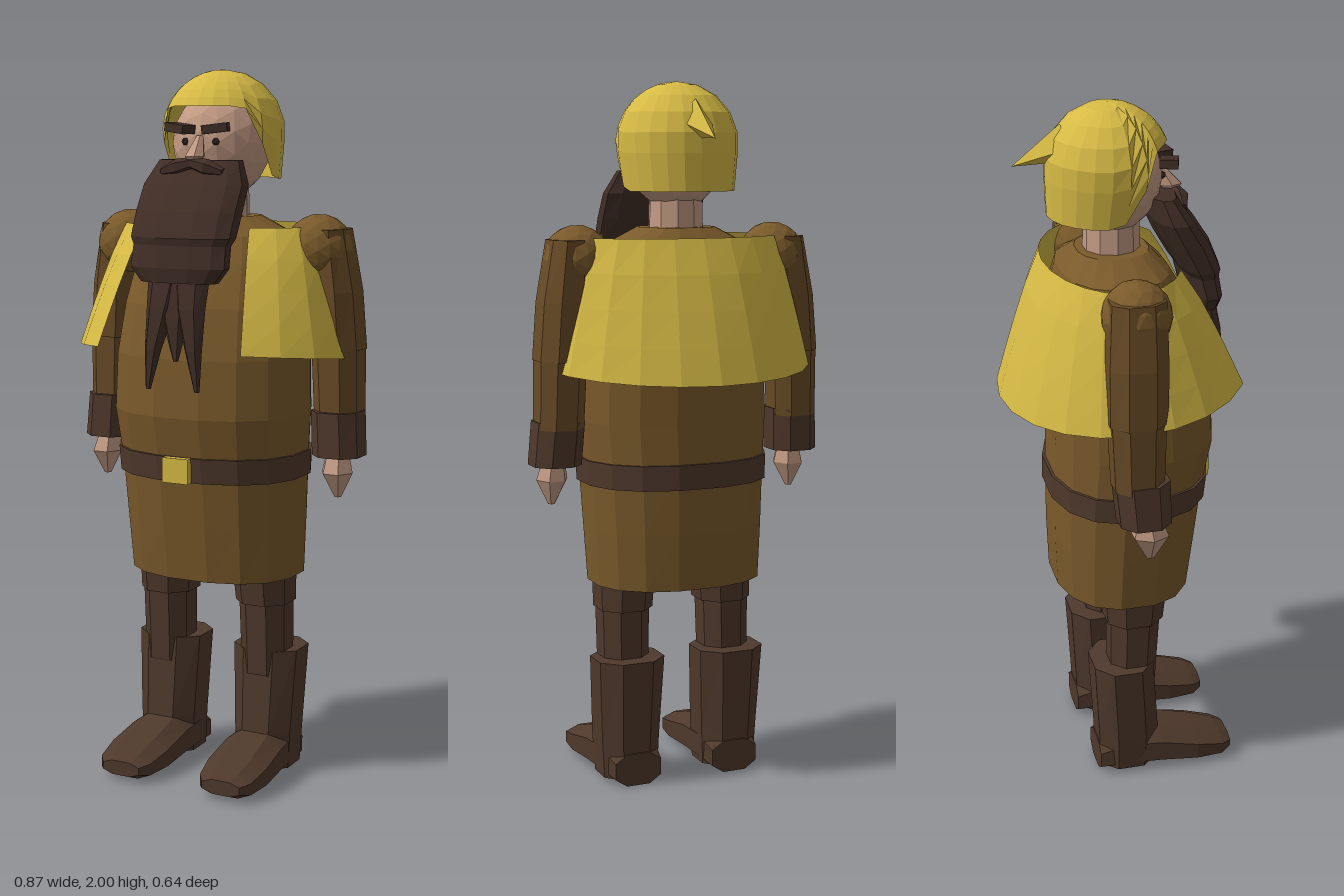
import * as THREE from 'three';

const mat = (name, color, extra = {}) =>
  Object.assign(new THREE.MeshStandardMaterial({ color, flatShading: true, ...extra }), { name });

// Grid of (nu x nv) cells from fn(u, v) -> [x, y, z]; u runs to the left, v upward
function sheet(nu, nv, fn, caps = false) {
  const pos = [], idx = [];
  for (let j = 0; j <= nv; j++)
    for (let i = 0; i <= nu; i++) pos.push(...fn(i / nu, j / nv));
  const w = nu + 1;
  for (let j = 0; j < nv; j++)
    for (let i = 0; i < nu; i++) {
      const a = j * w + i, b = a + 1, c = a + w, d = c + 1;
      idx.push(a, b, d, a, d, c);
    }
  if (caps)
    for (let i = 1; i < nu - 1; i++) {
      const t = nv * w;
      idx.push(0, i + 1, i, t, t + i, t + i + 1);
    }
  const g = new THREE.BufferGeometry();
  g.setAttribute('position', new THREE.Float32BufferAttribute(pos, 3));
  g.setIndex(idx);
  g.computeVertexNormals();
  return g;
}

// Capped loft through rings [y, cx, cz, rx, rz], lowest first; p < 1 squares the section
function loft(rings, n = 8, p = 1, turn = 0.5) {
  const bend = v => Math.sign(v) * Math.abs(v) ** p;
  return sheet(n, rings.length - 1, (u, v) => {
    const [y, cx, cz, rx, rz] = rings[Math.round(v * (rings.length - 1))];
    const a = (u + turn / n) * Math.PI * 2;
    return [cx + rx * bend(Math.sin(a)), y, cz + rz * bend(Math.cos(a))];
  }, true);
}

export function createModel() {
  const root = new THREE.Group();
  const gold = mat('gold', 0xd6ba45, { side: THREE.DoubleSide });
  const cloth = mat('brown cloth', 0x7a5a2b);
  const sleeveCloth = mat('sleeve brown', 0x684b26);
  const leather = mat('dark leather', 0x4f392c);
  const hair = mat('dark hair', 0x412e26);
  const skin = mat('skin', 0xc49c85);

  const add = (name, geo, material, parent = root) => {
    const m = new THREE.Mesh(geo, material);
    m.name = name;
    parent.add(m);
    return m;
  };

  // Tunic, belt and buckle
  add('tunic', loft([
    [0.59, 0, 0.018, 0.252, 0.197], [0.75, 0, 0.025, 0.26, 0.21], [0.92, 0, 0.035, 0.268, 0.22],
    [1.06, 0, 0.05, 0.28, 0.232], [1.22, 0, 0.045, 0.275, 0.228], [1.36, 0, 0.03, 0.26, 0.21],
    [1.48, 0, 0.01, 0.24, 0.18], [1.55, 0, 0, 0.21, 0.15], [1.6, 0, 0, 0.11, 0.1],
  ], 16, 0.85), cloth);
  add('belt', loft([[0.88, 0, 0.034, 0.274, 0.228], [0.95, 0, 0.038, 0.277, 0.231]], 16, 0.85), leather);
  add('buckle', new THREE.BoxGeometry(0.08, 0.07, 0.02), gold).position.set(0, 0.915, 0.272);

  // Short cape, open at the front
  add('cape', sheet(18, 4, (u, v) => {
    const a = THREE.MathUtils.degToRad(33 + u * 294);
    const d = 1 - v, f = d ** 0.85;
    return [
      (0.295 + 0.107 * f) * Math.sin(a),
      1.575 - d * (0.355 - 0.035 * Math.cos(a)),
      -0.005 + 0.032 * f + (0.188 + 0.16 * f) * Math.cos(a),
    ];
  }), gold);

  // Neck and head
  add('neck', loft([[1.56, 0, 0, 0.08, 0.08], [1.74, 0, 0, 0.075, 0.075]], 10), skin);
  const head = add('head', new THREE.IcosahedronGeometry(1, 2), skin);
  head.scale.set(0.138, 0.155, 0.137);
  head.position.set(0, 1.8, 0);
  add('nose', loft([[1.74, 0, 0.165, 0.012, 0.012], [1.765, 0, 0.162, 0.028, 0.035],
    [1.82, 0, 0.13, 0.01, 0.012]], 6), skin);

  // Helmet with a face opening and a spike at the back
  add('helmet', sheet(22, 7, (u, v) => {
    const a = u * Math.PI * 2;
    const off = Math.min(a, Math.PI * 2 - a) * 180 / Math.PI;
    const k = THREE.MathUtils.clamp((off - 48) / 36, 0, 1);
    const pol = (1 - v) * (66 + 74 * k);
    const low = Math.max(0, (pol - 90) / 50);
    const rad = Math.min(pol, 90) * Math.PI / 180;
    const r = 0.172 * Math.sin(rad) - 0.016 * low;
    return [r * Math.sin(a), 1.83 + 0.17 * Math.cos(rad) - 0.13 * low, r * Math.cos(a) - 0.01 - 0.012 * low];
  }), gold);
  const spike = add('helmetSpike', new THREE.ConeGeometry(0.055, 0.16, 4), gold);
  spike.rotation.x = -(Math.PI / 2 + 0.35);
  spike.position.set(0, 1.87, -0.195);

  // Beard
  add('beard', loft([
    [1.43, 0, 0.25, 0.115, 0.04], [1.47, 0, 0.25, 0.147, 0.046], [1.53, 0, 0.236, 0.145, 0.05],
    [1.55, 0, 0.23, 0.155, 0.06], [1.62, 0, 0.195, 0.156, 0.066], [1.69, 0, 0.155, 0.155, 0.06],
    [1.755, 0, 0.125, 0.125, 0.04],
  ], 12, 0.8), hair);
  add('beardMiddleLock', loft([[1.22, 0.01, 0.292, 0.008, 0.006], [1.33, 0, 0.275, 0.04, 0.022],
    [1.46, 0, 0.25, 0.07, 0.03]], 6), hair);

  for (const s of [1, -1]) {
    const side = s > 0 ? 'left' : 'right';
    const part = new THREE.Group();
    part.name = side + 'Side';
    root.add(part);

    // Face details
    const brow = add('eyebrow', new THREE.BoxGeometry(0.07, 0.024, 0.05), hair, part);
    brow.position.set(s * 0.055, 1.84, 0.145);
    brow.rotation.set(0, s * 0.3, s * 0.12);
    const eye = add('eye', new THREE.IcosahedronGeometry(0.011, 0), hair, part);
    eye.position.set(s * 0.047, 1.804, 0.128);
    const moustache = add('moustache', loft([[-0.05, 0, 0, 0.012, 0.012], [0, 0, 0, 0.024, 0.03],
      [0.05, 0, 0, 0.016, 0.018]], 6), hair, part);
    moustache.rotation.z = s * (Math.PI / 2 - 0.25);
    moustache.position.set(s * 0.045, 1.735, 0.175);
    add('beardLock', loft([
      [1.14, s * 0.075, 0.293, 0.008, 0.006], [1.25, s * 0.062, 0.288, 0.026, 0.02],
      [1.36, s * 0.045, 0.272, 0.045, 0.028], [1.46, s * 0.035, 0.25, 0.06, 0.03],
    ], 6), hair, part);

    // Arm
    const shoulder = add('shoulder', new THREE.IcosahedronGeometry(0.095, 2), cloth, part);
    shoulder.position.set(s * 0.298, 1.515, -0.005);
    add('upperSleeve', loft([
      [1.24, s * 0.352, -0.018, 0.076, 0.084], [1.4, s * 0.342, -0.016, 0.073, 0.085],
      [1.57, s * 0.328, -0.012, 0.055, 0.078],
    ], 8, 0.85), sleeveCloth, part);
    add('lowerSleeve', loft([[1.05, s * 0.36, -0.016, 0.068, 0.072],
      [1.26, s * 0.354, -0.018, 0.072, 0.08]], 8, 0.85), sleeveCloth, part);
    add('cuff', loft([[0.945, s * 0.367, 0, 0.073, 0.075],
      [1.07, s * 0.359, -0.008, 0.072, 0.08]], 8, 0.85), leather, part);
    add('hand', loft([[0.83, s * 0.372, 0.018, 0.01, 0.012], [0.9, s * 0.37, 0.018, 0.046, 0.055],
      [0.96, s * 0.367, 0.01, 0.032, 0.038]], 6), skin, part);

    // Leg and boot
    add('knee', loft([[0.51, s * 0.155, 0.026, 0.083, 0.088],
      [0.65, s * 0.15, 0.03, 0.09, 0.1]], 8, 0.9), leather, part);
    add('shin', loft([[0.3, s * 0.158, 0.02, 0.072, 0.072],
      [0.52, s * 0.157, 0.026, 0.076, 0.078]], 8, 0.9), leather, part);
    add('bootShaft', loft([[0.02, s * 0.155, 0.005, 0.088, 0.09], [0.13, s * 0.156, 0.006, 0.094, 0.096],
      [0.37, s * 0.156, -0.01, 0.106, 0.094]], 8, 0.85), leather, part);
    // Foot lofted heel to toe, then laid forward
    add('bootFoot', loft([
      [-0.085, s * 0.152, -0.05, 0.075, 0.05], [0, s * 0.153, -0.07, 0.09, 0.07],
      [0.1, s * 0.155, -0.067, 0.094, 0.067], [0.21, s * 0.158, -0.052, 0.097, 0.052],
      [0.29, s * 0.16, -0.042, 0.085, 0.036], [0.32, s * 0.16, -0.042, 0.062, 0.022],
    ], 8, 0.8).rotateX(Math.PI / 2), leather, part);
  }
  return root;
}
